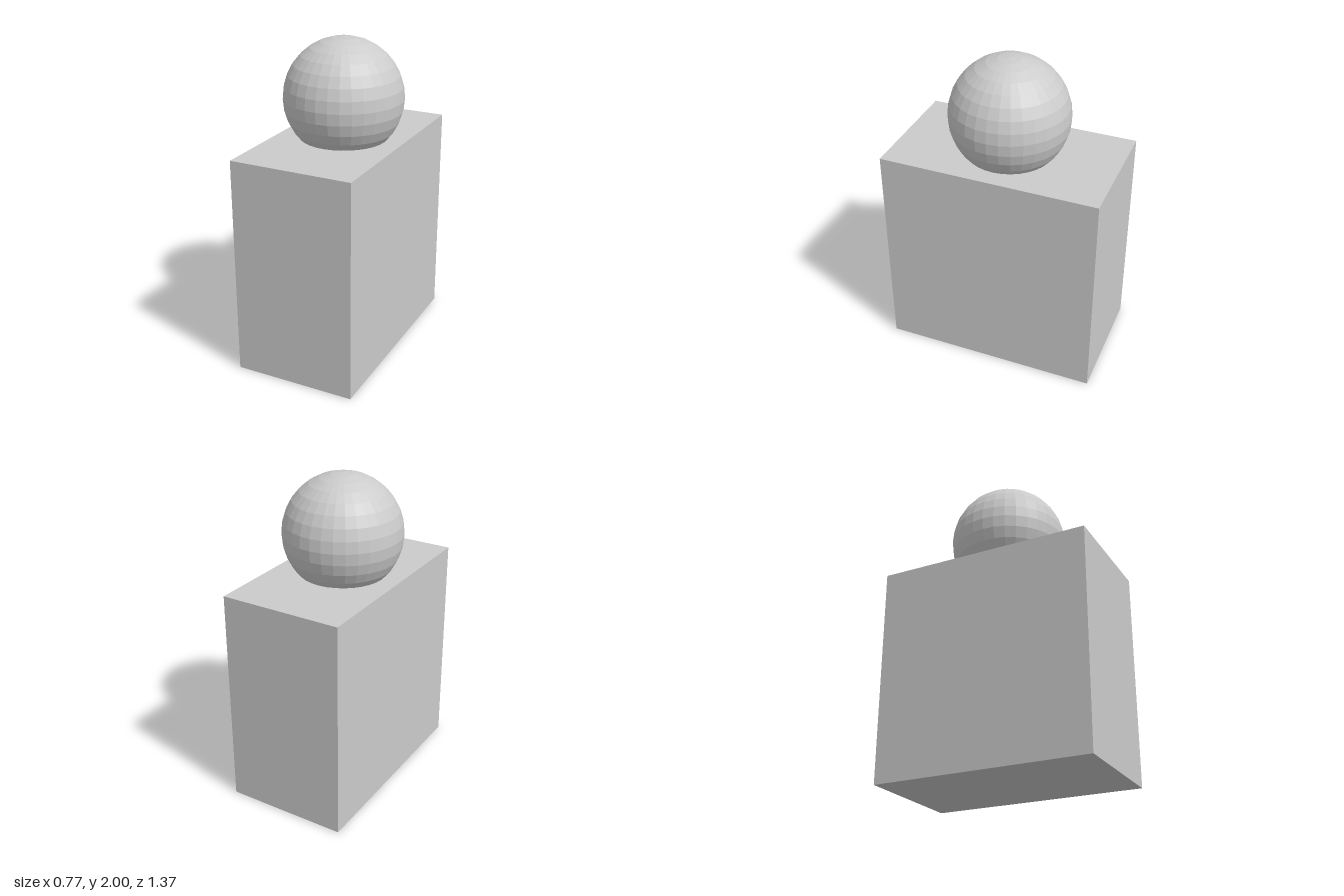
import * as THREE from 'three';

const BODY = { width: 0.77, height: 1.38, depth: 1.37 };
const BALL_RADIUS = 0.37;

export function createModel() {
  const model = new THREE.Group();
  model.name = 'ballOnBlock';
  const material = new THREE.MeshStandardMaterial({ color: 0xcccccc, flatShading: true });

  // Upright block standing on the ground
  const block = new THREE.Mesh(new THREE.BoxGeometry(BODY.width, BODY.height, BODY.depth), material);
  block.name = 'block';
  block.position.y = BODY.height / 2;
  model.add(block);

  // Faceted ball, sunk a little into the block's top
  const ball = new THREE.Mesh(new THREE.SphereGeometry(BALL_RADIUS, 32, 16), material);
  ball.name = 'ball';
  ball.position.y = 2 - BALL_RADIUS;
  model.add(ball);

  return model;
}
